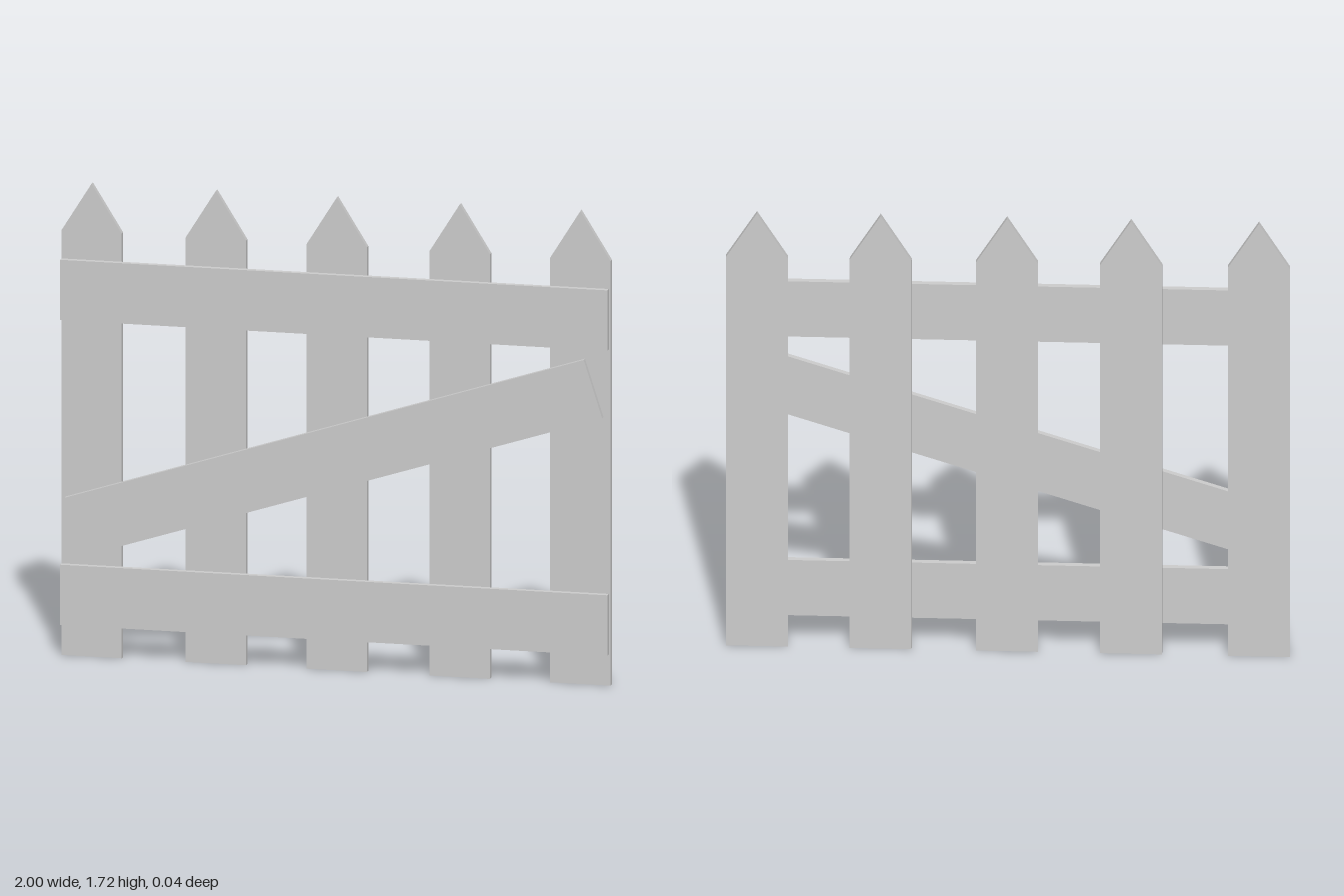
import * as THREE from 'three';

const T = 0.022; // board thickness
const W = 0.22; // board width

export function createModel() {
  const group = new THREE.Group();
  const material = new THREE.MeshStandardMaterial({ color: 0xcccccc, flatShading: true });

  const add = (name, geometry, x, y, z, tilt = 0) => {
    const mesh = new THREE.Mesh(geometry, material);
    mesh.name = name;
    mesh.position.set(x, y, z);
    mesh.rotation.z = tilt;
    group.add(mesh);
  };

  // Pointed pickets, behind the rails
  const outline = new THREE.Shape([
    new THREE.Vector2(-W / 2, 0),
    new THREE.Vector2(W / 2, 0),
    new THREE.Vector2(W / 2, 1.547),
    new THREE.Vector2(0, 1.723),
    new THREE.Vector2(-W / 2, 1.547),
  ]);
  const picket = new THREE.ExtrudeGeometry(outline, { depth: T, bevelEnabled: false });
  [-0.89, -0.437, 0.003, 0.451, 0.89].forEach((x, i) => add(`picket${i + 1}`, picket, x, 0, -T));

  // Horizontal rails on the front
  const rail = new THREE.BoxGeometry(1.993, W, T);
  add('bottomRail', rail, -0.003, 0.224, T / 2);
  add('topRail', rail, -0.003, 1.335, T / 2);

  // Diagonal brace between the rails
  add('diagonalBrace', new THREE.BoxGeometry(1.985, W, T), -0.004, 0.778, T / 2, 0.311);

  return group;
}
